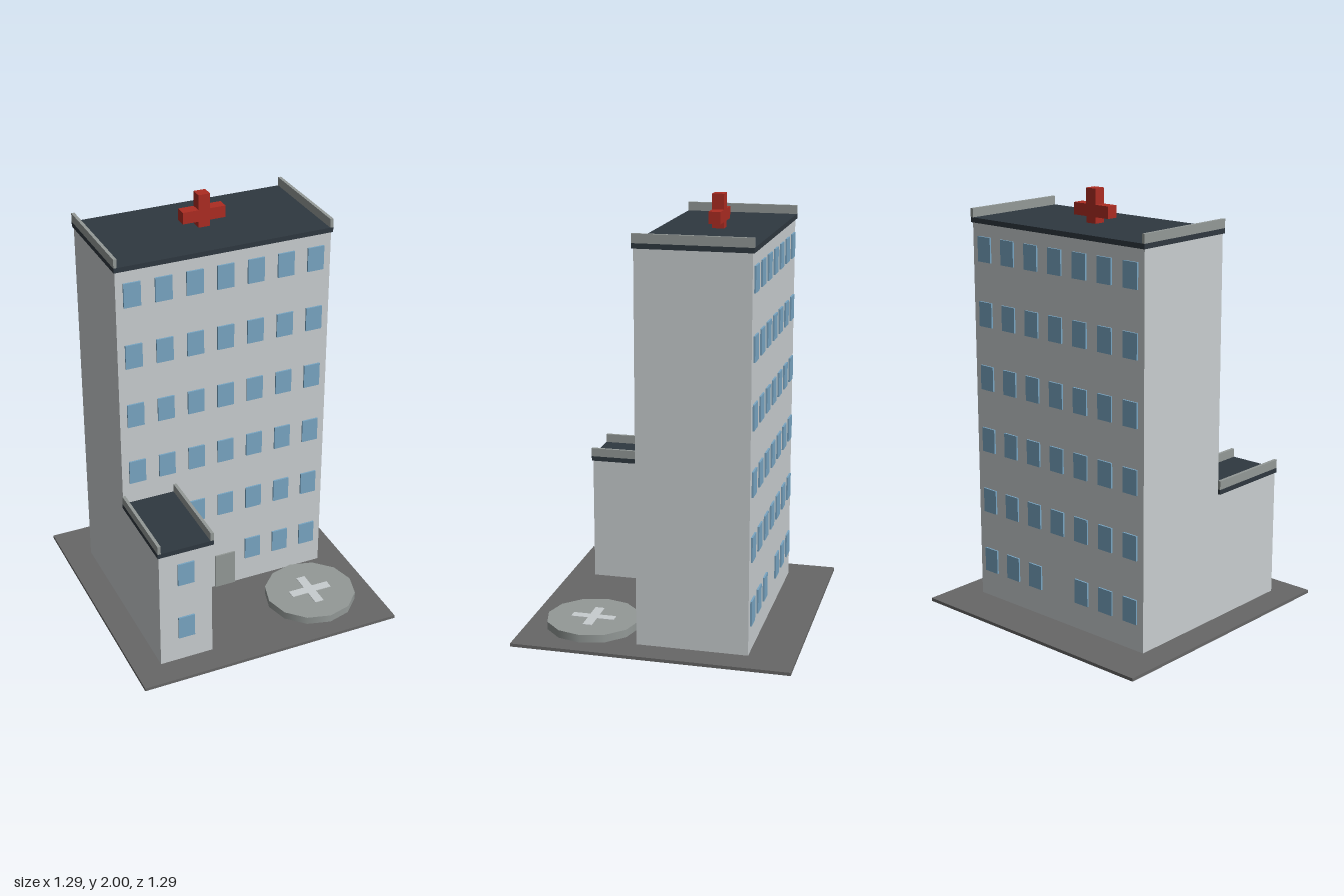
import * as THREE from 'three';

const mat = (name, color) => {
  const m = new THREE.MeshStandardMaterial({ color });
  m.name = name;
  return m;
};

export function createModel() {
  const wall = mat('wall', 0xc8cdcf);
  const roof = mat('roof', 0x2f3840);
  const grey = mat('concrete', 0x939997);
  const asphalt = mat('asphalt', 0x676767);
  const glass = mat('glass', 0x78a5c2);
  const red = mat('red', 0xac2c22);

  const model = new THREE.Group();
  model.name = 'hospital';

  // Box given by its minimum and maximum on each axis
  const box = (name, material, [x0, x1], [y0, y1], [z0, z1], parent = model) => {
    const mesh = new THREE.Mesh(new THREE.BoxGeometry(x1 - x0, y1 - y0, z1 - z0), material);
    mesh.position.set((x0 + x1) / 2, (y0 + y1) / 2, (z0 + z1) / 2);
    mesh.name = name;
    parent.add(mesh);
    return mesh;
  };

  box('ground', asphalt, [-0.645, 0.645], [0, 0.015], [-0.645, 0.645]);

  // Block: walls, dark roof slab and a low parapet along each side
  const block = (name, [x0, x1], [z0, z1], height, [r0, r1]) => {
    const g = new THREE.Group();
    g.name = name;
    model.add(g);
    const top = height + 0.023;
    box('walls', wall, [x0, x1], [0.015, height], [z0, z1], g);
    box('roofSlab', roof, [x0 - 0.006, x1 + 0.006], [height, top], [r0, r1], g);
    box('parapetRight', grey, [x0 - 0.006, x0 + 0.009], [top, top + 0.041], [r0, r1], g);
    box('parapetLeft', grey, [x1 - 0.009, x1 + 0.006], [top, top + 0.041], [r0, r1], g);
  };
  block('tower', [-0.516, 0.516], [-0.43, 0.085], 1.822, [-0.438, 0.093]);
  block('wing', [-0.516, -0.258], [0.085, 0.518], 0.621, [0.093, 0.524]);

  // Windows: six floors of seven, front and back
  const windows = new THREE.Group();
  windows.name = 'windows';
  model.add(windows);
  const addWindow = (x, y, z) =>
    box('window', glass, [x - 0.04, x + 0.04], [y - 0.058, y + 0.058], [z - 0.001, z + 0.008], windows);
  for (let floor = 0; floor < 6; floor++) {
    const y = 0.2 + floor * 0.301;
    for (let col = -3; col <= 3; col++) {
      if (floor === 0 && col === 0) continue;
      const x = col * 0.147;
      addWindow(x, y, -0.437);
      if (floor > 1 || col > -2) addWindow(x, y, 0.085);
    }
    if (floor < 2) addWindow(-0.387, y, 0.518);
  }

  box('door', grey, [-0.052, 0.052], [0.015, 0.2], [0.08, 0.093]);

  // Helipad with a pale cross
  const pad = new THREE.Mesh(new THREE.CylinderGeometry(0.22, 0.22, 0.037, 12), grey);
  pad.position.set(0.341, 0.0335, 0.341);
  pad.name = 'helipad';
  model.add(pad);
  const padY = [0.051, 0.055];
  box('padCrossBar', wall, [0.238, 0.444], padY, [0.319, 0.363]);
  box('padCrossFront', wall, [0.319, 0.363], padY, [0.363, 0.444]);
  box('padCrossBack', wall, [0.319, 0.363], padY, [0.238, 0.319]);

  // Red cross on the roof
  const crossZ = [-0.2, -0.145];
  box('roofCrossPost', red, [-0.028, 0.028], [1.845, 2], crossZ);
  box('roofCrossRightArm', red, [-0.103, -0.028], [1.874, 1.929], crossZ);
  box('roofCrossLeftArm', red, [0.028, 0.103], [1.874, 1.929], crossZ);

  return model;
}
